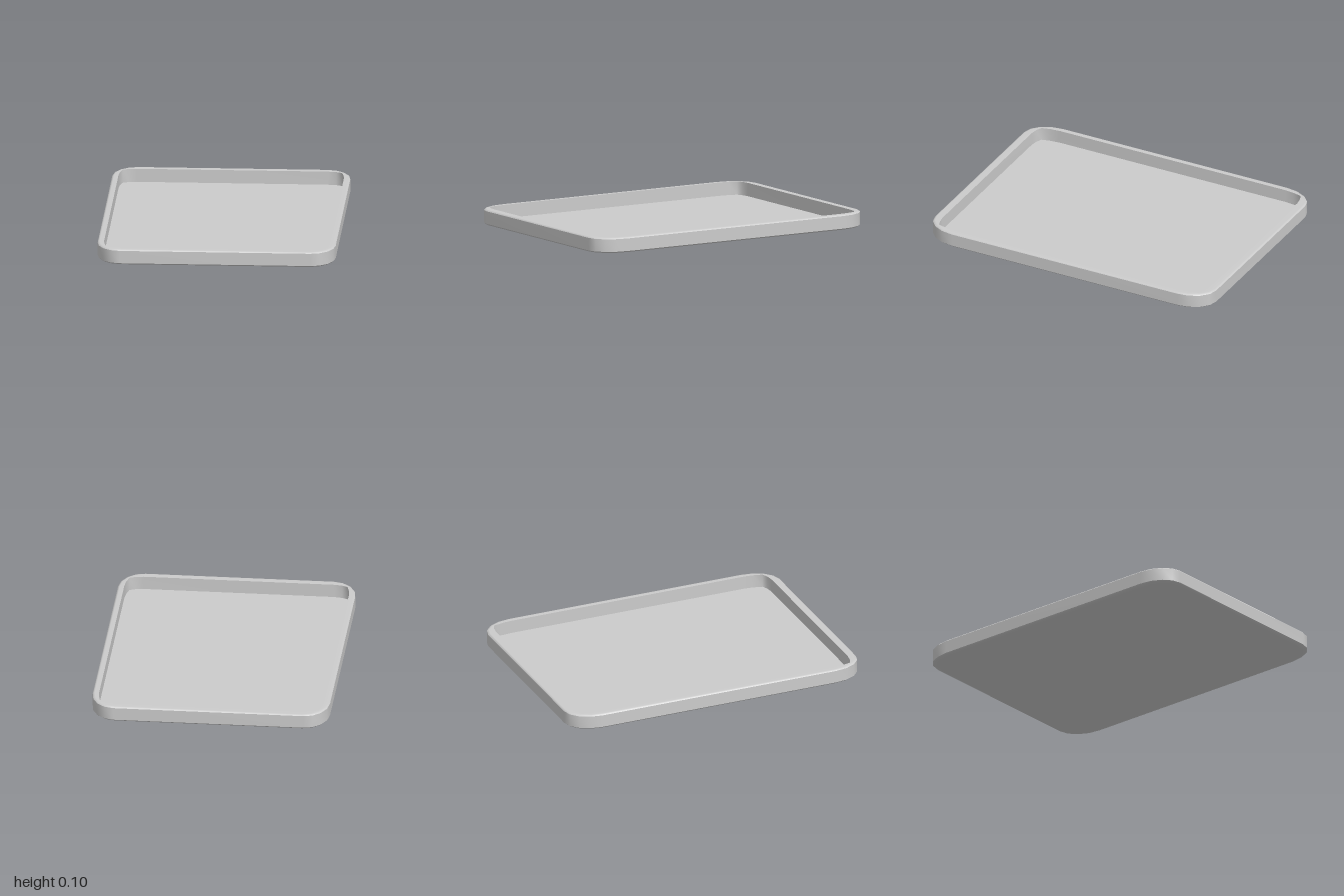
import * as THREE from 'three';

// Quarter corner points (x, z), from the long side round to the short side
const OUTER = [];
for (let i = 0; i <= 4; i++) {
  const a = (i / 4) * Math.PI / 2;
  OUTER.push([0.6 + 0.15 * Math.cos(a), 0.8 + 0.2 * Math.sin(a)]);
}
const INNER = [[0.71, 0.8], [0.704, 0.862], [0.69, 0.92], [0.653, 0.937], [0.6, 0.945]];

// Closed loop: mirror a corner into all four quadrants, inset by d, at height y
function ring(corner, y, d = 0) {
  const q = corner.map(([x, z]) => [x * (1 - d / 0.75), z * (1 - d)]);
  const r = [...q].reverse();
  return [
    ...q,
    ...r.map(([x, z]) => [-x, z]),
    ...q.map(([x, z]) => [-x, -z]),
    ...r.map(([x, z]) => [x, -z]),
  ].map(([x, z]) => [x, y, z]);
}

// Smooth skin through successive loops
function loft(rings) {
  const n = rings[0].length;
  const index = [];
  for (let k = 0; k < rings.length - 1; k++) {
    for (let i = 0; i < n; i++) {
      const j = (i + 1) % n;
      const a = k * n + i, b = k * n + j;
      index.push(a, a + n, b + n, a, b + n, b);
    }
  }
  const g = new THREE.BufferGeometry();
  g.setAttribute('position', new THREE.Float32BufferAttribute(rings.flat(2), 3));
  g.setIndex(index);
  g.computeVertexNormals();
  return g;
}

// Flat cap over a loop, facing up or down
function cap(loop, up) {
  const n = loop.length, index = [];
  for (let i = 0; i < n; i++) {
    const j = (i + 1) % n;
    index.push(n, ...(up ? [j, i] : [i, j]));
  }
  const g = new THREE.BufferGeometry();
  g.setAttribute('position', new THREE.Float32BufferAttribute([...loop.flat(), 0, loop[0][1], 0], 3));
  g.setIndex(index);
  g.computeVertexNormals();
  return g;
}

export function createModel() {
  const group = new THREE.Group();
  group.name = 'tray';
  const material = new THREE.MeshStandardMaterial({ color: 0xcccccc });
  const add = (name, geometry) => {
    const mesh = new THREE.Mesh(geometry, material);
    mesh.name = name;
    group.add(mesh);
  };

  // Underside with a narrow softened edge
  add('underside', cap(ring(OUTER, 0, 0.03), false));
  add('bottomEdge', loft([ring(OUTER, 0, 0.03), ring(OUTER, 0.004, 0.008), ring(OUTER, 0.012)]));

  // Outer wall and rounded rim
  add('outerWall', loft([ring(OUTER, 0.012), ring(OUTER, 0.092)]));
  add('rim', loft([ring(OUTER, 0.092), ring(OUTER, 0.098, 0.005), ring(OUTER, 0.1, 0.012), ring(INNER, 0.1)]));

  // Upright inner wall and recessed floor
  add('innerWall', loft([ring(INNER, 0.1), ring(INNER, 0.015)]));
  add('floor', cap(ring(INNER, 0.015), true));
  return group;
}
